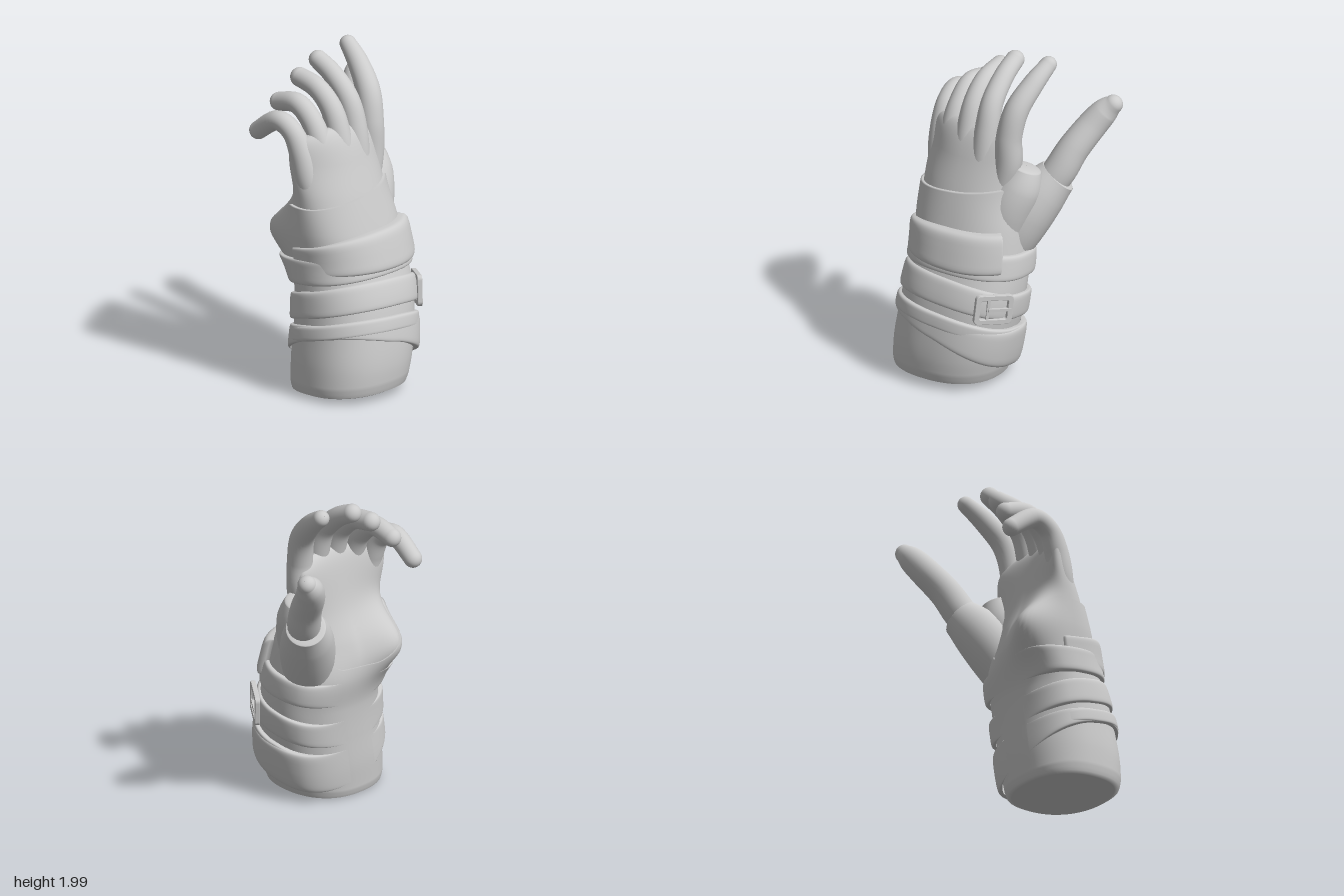
import * as THREE from 'three';
import { ParametricGeometry } from 'three/addons/geometries/ParametricGeometry.js';

const { sin, cos, abs, sign, sqrt, exp, min, max, PI } = Math;
const smooth = THREE.MathUtils.smoothstep;
const lerp = THREE.MathUtils.lerp;
const material = new THREE.MeshStandardMaterial({ color: 0xcccccc, side: THREE.DoubleSide });

// Smooth interpolation through evenly spaced rows of numbers, t in 0..1
function spline(rows, t) {
  const n = rows.length - 1;
  const f = min(max(t, 0), 1) * n;
  const i = min(Math.floor(f), n - 1);
  const k = f - i;
  const row = (j) => rows[min(max(j, 0), n)];
  return rows[0].map((_, c) => {
    const [a, b, d, e] = [row(i - 1)[c], row(i)[c], row(i + 1)[c], row(i + 2)[c]];
    return b + 0.5 * k * (d - a + k * (2 * a - 5 * b + 4 * d - e + k * (3 * (b - d) + e - a)));
  });
}

// Forearm and palm sections every 0.2 in height: xMin, xMax, zMin, zMax, cupping
const sections = [
  [-0.565, 0.115, -0.155, 0.48, 0],
  [-0.55, 0.155, -0.165, 0.485, 0],
  [-0.515, 0.185, -0.165, 0.455, 0],
  [-0.485, 0.205, -0.175, 0.41, 0],
  [-0.465, 0.2, -0.2, 0.34, 0],
  [-0.475, 0.18, -0.155, 0.285, 0.1],
  [-0.48, 0.15, -0.1, 0.225, 0.5],
  [-0.485, 0.16, -0.065, 0.16, 0.95],
  [-0.485, 0.155, -0.035, 0.105, 0.95],
];

// Point on the body at angle a (0 = front, PI/2 = +x), pushed out by off and scaled by s
function body(a, y, off, s, target) {
  const [x0, x1, z0, z1, cup] = spline(sections, y / 1.6);
  const pow = (v) => sign(v) * abs(v) ** 0.87;
  // swelling at the heel of the palm
  const swell = exp(-(((y - 0.96) / 0.17) ** 2) + (cos(a + 2.45) - 1) / 0.16);
  const dx = s * ((x1 - x0) / 2) * pow(sin(a)) + off * sin(a) - 0.05 * swell;
  const dz = s * ((z1 - z0) / 2) * pow(cos(a)) + off * cos(a) - 0.16 * swell;
  const bend = cup * (dx < 0 ? 1 : 0.55) * dx * dx;
  return target.set((x0 + x1) / 2 + dx, y, (z0 + z1) / 2 + dz - bend);
}

function add(parent, name, geometry) {
  const mesh = new THREE.Mesh(geometry, material);
  mesh.name = name;
  parent.add(mesh);
  return mesh;
}

// Round limb through rows of x, y, z, radius, closed by a dome of relative height cap
function limb(rows, cap = 1) {
  const at = (t) => new THREE.Vector3(...spline(rows, t));
  return new ParametricGeometry((u, v, target) => {
    const t = min(v / 0.8, 1);
    const phi = (max(v - 0.8, 0) / 0.2) * (PI / 2) * 0.985;
    const r = spline(rows, t)[3];
    const T = at(min(t + 0.002, 1)).sub(at(max(t - 0.002, 0))).normalize();
    const N = new THREE.Vector3(1, 0, 0).addScaledVector(T, -T.x).normalize();
    const B = N.clone().cross(T);
    const a = (u * 2 - 1) * PI;
    target.copy(at(t)).addScaledVector(T, r * cap * sin(phi))
      .addScaledVector(N, r * cos(phi) * sin(a)).addScaledVector(B, r * cos(phi) * cos(a));
  }, 28, 40);
}

// Strap wrapped over the body between two angles, with rounded edges and fading ends
function strap({ from, to, mid, half, thick, fade = 0.9 }) {
  return new ParametricGeometry((u, v, target) => {
    const a = lerp(from, to, u);
    const end = smooth(min(a - from, to - a), 0, fade);
    const c = -cos(PI * v);
    const y = mid(a) + half(a) * sign(c) * abs(c) ** 0.4;
    const rise = max(sin(PI * v), 0) ** 0.35;
    body(a, y, 0.01 + rise * end * thick(a), 1, target);
  }, 96, 18);
}

export function createModel() {
  const model = new THREE.Group();

  // Brace: closed base, sleeve up to the cuff, lip turned inward
  const cuffTop = (a) => lerp(1.2 + 0.05 * sin(a), 0.87, smooth(abs(a), 1.9, 2.9));
  const cuffOff = (a) => lerp(0.022, 0.008, smooth(abs(a), 1.7, 2.4));
  add(model, 'braceSleeve', new ParametricGeometry((u, v, target) => {
    const a = (u * 2 - 1) * PI;
    const base = 0.02 + 0.02 * cos(a);
    if (v < 0.1) {
      const s = max(0.003, v / 0.1);
      return body(a, 0.02 + s * 0.02 * cos(a), 0, s * 0.95, target);
    }
    if (v > 0.94) return body(a, cuffTop(a), lerp(cuffOff(a), -0.02, (v - 0.94) / 0.06), 1, target);
    const k = (v - 0.1) / 0.84;
    const edge = 0.95 + 0.05 * sqrt(min(k / 0.05, 1));
    return body(a, lerp(base, cuffTop(a), k), cuffOff(a) * smooth(k, 0, 0.5), edge, target);
  }, 72, 64));

  // Palm, domed at the finger roots
  add(model, 'palm', new ParametricGeometry((u, v, target) => {
    const y = lerp(0.75, 1.6, sin((v * PI) / 2));
    const k = max(0, (y - 1.4) / 0.2);
    body((u * 2 - 1) * PI, y, 0, max(0.003, sqrt(max(0, 1 - k ** 4))), target);
  }, 72, 56));

  // Fingers from the thumb side outward, each running from back of hand to tip
  const fingers = [
    [
      [0.045, 1.12, 0.08, 0.05], [0.09, 1.36, 0.04, 0.082], [0.1, 1.55, 0.035, 0.078],
      [0.125, 1.72, -0.01, 0.074], [0.165, 1.855, -0.125, 0.064], [0.195, 1.945, -0.24, 0.05],
    ],
    [
      [-0.08, 1.12, 0.12, 0.05], [-0.06, 1.36, 0.08, 0.074], [-0.05, 1.56, 0.045, 0.074],
      [-0.05, 1.72, -0.01, 0.067], [-0.05, 1.84, -0.13, 0.061], [-0.05, 1.905, -0.25, 0.056],
    ],
    [
      [-0.17, 1.12, 0.12, 0.05], [-0.18, 1.34, 0.08, 0.074], [-0.18, 1.52, 0.045, 0.074],
      [-0.18, 1.68, -0.015, 0.067], [-0.18, 1.785, -0.13, 0.062], [-0.175, 1.82, -0.28, 0.058],
    ],
    [
      [-0.27, 1.12, 0.1, 0.05], [-0.295, 1.32, 0.05, 0.073], [-0.31, 1.49, 0.015, 0.073],
      [-0.31, 1.625, -0.05, 0.066], [-0.31, 1.715, -0.17, 0.062], [-0.305, 1.69, -0.325, 0.056],
    ],
    [
      [-0.39, 1.12, 0.05, 0.05], [-0.41, 1.3, 0.005, 0.074], [-0.42, 1.46, -0.035, 0.072],
      [-0.43, 1.585, -0.1, 0.063], [-0.435, 1.63, -0.22, 0.06], [-0.43, 1.53, -0.375, 0.055],
    ],
  ];
  fingers.forEach((rows, i) => add(model, 'finger' + (i + 1), limb(rows)));

  // Thumb, its sleeve and the cuff over the web
  add(model, 'thumb', limb([
    [0.21, 1.12, -0.12, 0.09],
    [0.295, 1.28, -0.2, 0.1],
    [0.35, 1.42, -0.275, 0.095],
    [0.415, 1.55, -0.375, 0.089],
    [0.47, 1.635, -0.43, 0.079],
    [0.515, 1.685, -0.45, 0.057],
  ]));
  add(model, 'thumbSleeve', limb([
    [0.02, 0.68, 0.03, 0.1],
    [0.085, 0.87, -0.015, 0.15],
    [0.145, 1.02, -0.075, 0.165],
    [0.215, 1.15, -0.145, 0.152],
    [0.285, 1.25, -0.205, 0.12],
  ], 0.08));
  add(model, 'webCuff', limb([
    [0.05, 0.9, 0.07, 0.13],
    [0.09, 1.08, 0.03, 0.15],
    [0.145, 1.22, -0.01, 0.135],
    [0.17, 1.335, -0.04, 0.095],
  ], 0.2));

  // Straps from top to bottom
  add(model, 'upperLoop', strap({
    from: -2.8, to: 2.85, mid: (a) => 0.765 + 0.05 * cos(a), half: () => 0.075,
    thick: () => 0.042,
  }));
  add(model, 'upperFlap', strap({
    from: -1.8, to: 1.03, mid: (a) => 0.885 - 0.025 * min(a, 0) ** 2,
    half: (a) => lerp(0.088, 0.118, smooth(a, -1.6, 0.3)),
    thick: (a) => lerp(0.03, 0.072, smooth(a, -1.8, 0)), fade: 0.06,
  }));
  const buckleMid = (a) => 0.545 + 0.09 * cos(a) - 0.03 * sin(a);
  add(model, 'buckleStrap', strap({
    from: -2.85, to: 2.95, mid: buckleMid, half: () => 0.078, thick: () => 0.036,
  }));
  add(model, 'crossWrap', strap({
    from: -2.7, to: 2.8, mid: (a) => 0.37 + 0.09 * cos(a) - 0.04 * sin(a), half: () => 0.042,
    thick: () => 0.034,
  }));
  add(model, 'lowerWrap', strap({
    from: -2.85, to: 2.95, mid: (a) => 0.325 + 0.09 * cos(a) - 0.085 * sin(a),
    half: (a) => 0.085 + 0.04 * sin(a) - 0.02 * cos(a),
    thick: (a) => 0.03 + 0.015 * max(sin(a), 0) ** 2,
  }));

  // Buckle: rounded frame, centre bar and prong
  const rounded = (path, w, h, r) => {
    const corners = [[1, -1], [1, 1], [-1, 1], [-1, -1]];
    path.moveTo(-w + r, -h);
    corners.forEach(([x, y], i) => path.absarc(x * (w - r), y * (h - r), r, (i - 1) * PI / 2, i * PI / 2));
    path.closePath();
    return path;
  };
  const buckle = new THREE.Group();
  buckle.name = 'buckle';
  const frame = rounded(new THREE.Shape(), 0.115, 0.09, 0.025);
  frame.holes.push(rounded(new THREE.Path(), 0.09, 0.065, 0.015));
  add(buckle, 'buckleFrame', new THREE.ExtrudeGeometry(frame, {
    depth: 0.022, bevelSize: 0.004, bevelThickness: 0.004, bevelSegments: 2, curveSegments: 6,
  }));
  add(buckle, 'buckleBar', new THREE.BoxGeometry(0.018, 0.15, 0.018)).position.set(-0.035, 0, 0.012);
  add(buckle, 'buckleProng', new THREE.BoxGeometry(0.14, 0.018, 0.018)).position.set(0.035, 0, 0.022);
  const angle = 0.98;
  body(angle, buckleMid(angle) - 0.01, 0.032, 1, buckle.position);
  buckle.rotation.set(0, angle - 0.05, -0.12, 'YXZ');
  model.add(buckle);

  return model;
}
